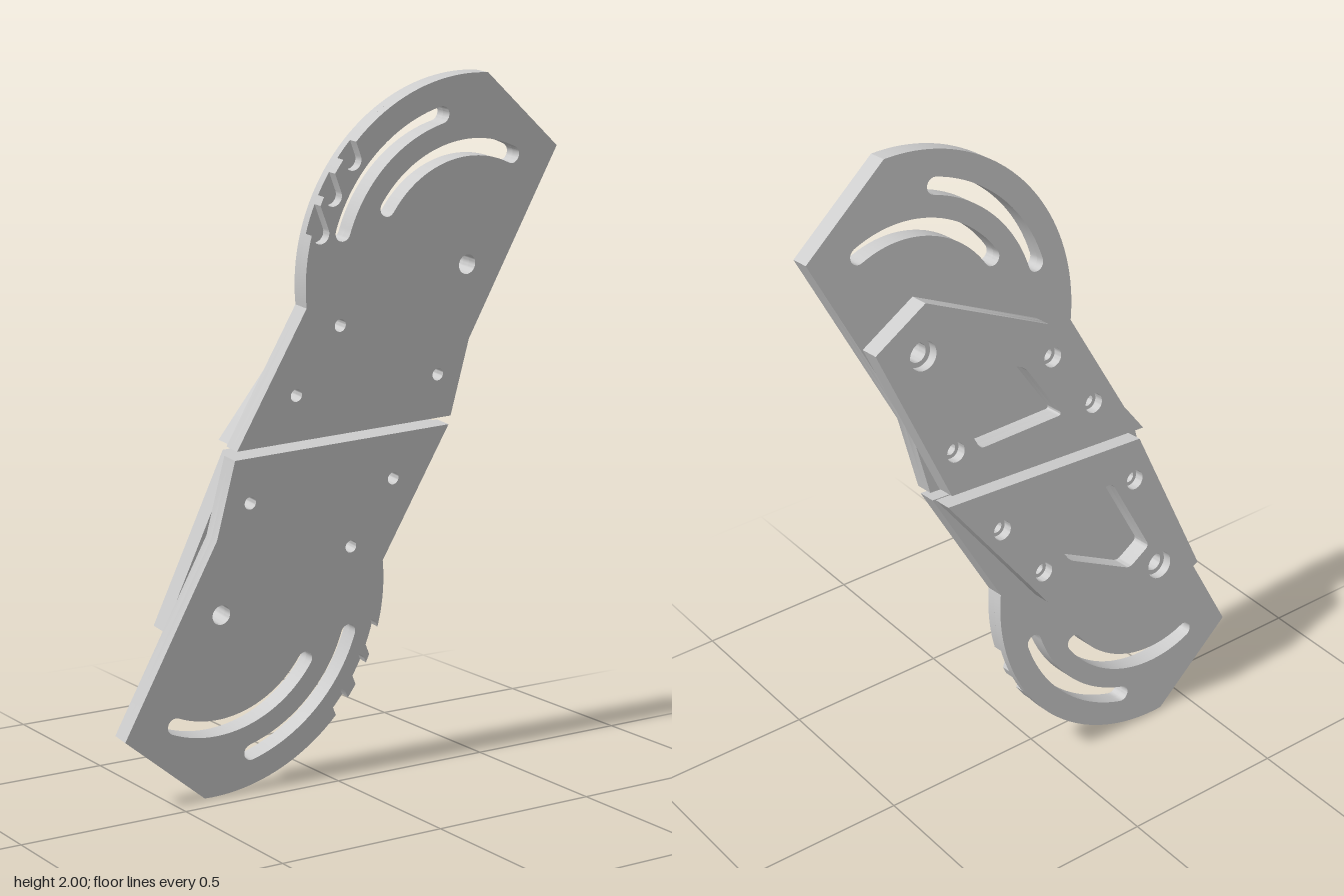
import * as THREE from 'three';
import { toCreasedNormals } from 'three/addons/utils/BufferGeometryUtils.js';

const V = (x, y) => new THREE.Vector2(x, y);
const material = new THREE.MeshStandardMaterial({ color: 0xcccccc });

// One half is drawn above the origin; the other is its half turn.
const PIVOT = V(0.375, 0.465);
const RIM = 0.535;
const SMALL_HOLES = [V(-0.04, 0.32), V(-0.17, 0.135), V(0.3, 0.155)];

const polar = (r, a, c = PIVOT) => V(c.x + r * Math.cos(a), c.y + r * Math.sin(a));

function arc(c, r, from, to, n) {
  return Array.from({ length: n + 1 }, (_, i) => polar(r, from + ((to - from) * i) / n, c));
}

const circle = (c, r) => new THREE.Path(arc(c, r, 0, Math.PI * 2, 32).slice(0, -1));

// Curved slot with round ends, concentric with the pivot
function slot(radius, from, to, w = 0.024) {
  return new THREE.Path([
    ...arc(PIVOT, radius + w, from, to, 32),
    ...arc(polar(radius, to), w, to, to + Math.PI, 10).slice(1),
    ...arc(PIVOT, radius - w, to, from, 32).slice(1),
    ...arc(polar(radius, from), w, from + Math.PI, from + Math.PI * 2, 10).slice(1, -1),
  ]);
}

// Round-bottomed notch running out through the rim
function notch(angle) {
  const r = 0.027;
  const c = polar(0.507, angle);
  const d = V(-0.42, 0.908);
  const start = Math.atan2(0.42, 0.908);
  const bottom = arc(c, r, start, start - Math.PI, 12);
  const toRim = (p) => {
    const q = p.clone().sub(PIVOT);
    const b = q.dot(d);
    const t = -b + Math.sqrt(b * b - q.lengthSq() + RIM * RIM);
    return p.clone().addScaledVector(d, t);
  };
  return [toRim(bottom[0]), ...bottom, toRim(bottom[bottom.length - 1])];
}

function baseShape(notched) {
  const angleOf = (p) => Math.atan2(p.y - PIVOT.y, p.x - PIVOT.x);
  const end = Math.PI * 1.054;
  const pts = [V(-0.35, -0.005), V(0.355, 0.03), V(0.4, 0.25), V(0.66, 0.79)];
  let a = 1.524;
  if (notched) {
    for (const n of [143, 155.5, 167.5]) {
      const cut = notch((n * Math.PI) / 180);
      pts.push(...arc(PIVOT, RIM, a, angleOf(cut[0]), a < 2 ? 20 : 3).slice(0, -1), ...cut.slice(0, -1));
      a = angleOf(cut[cut.length - 1]);
    }
  }
  pts.push(...arc(PIVOT, RIM, a, end, notched ? 10 : 40));
  const shape = new THREE.Shape(pts);
  shape.holes.push(
    slot(0.33, 1.167, 2.596),
    slot(0.438, 1.85, 2.887),
    circle(PIVOT, 0.028),
    ...SMALL_HOLES.map((c) => circle(c, 0.018)),
  );
  return shape;
}

// Back plate with a pocket window; the hole sizes differ per layer
function plateShape(small, big) {
  const shape = new THREE.Shape([
    V(-0.34, -0.002), V(0.325, 0.032), V(0.52, 0.512), V(0.353, 0.608), V(-0.035, 0.42),
  ]);
  const window = [V(0.22, 0.137), V(0.34, 0.385), V(0.265, 0.43), V(0.053, 0.32), V(-0.06, 0.14)];
  // Rounded corners on the window
  const rounded = new THREE.Path();
  window.forEach((p, i) => {
    const prev = window[(i + 4) % 5];
    const next = window[(i + 1) % 5];
    const near = (q) => p.clone().addScaledVector(q.clone().sub(p).normalize(), 0.016);
    const s = near(prev);
    const e = near(next);
    if (i === 0) rounded.moveTo(s.x, s.y);
    else rounded.lineTo(s.x, s.y);
    rounded.quadraticCurveTo(p.x, p.y, e.x, e.y);
  });
  rounded.closePath();
  shape.holes.push(rounded, circle(PIVOT, big), ...SMALL_HOLES.map((c) => circle(c, small)));
  return shape;
}

function layer(name, shape, zBack, zFront) {
  const geo = new THREE.ExtrudeGeometry(shape, {
    depth: zFront - zBack, bevelEnabled: false, curveSegments: 6,
  });
  geo.translate(0, 0, zBack);
  const mesh = new THREE.Mesh(toCreasedNormals(geo, 0.5), material);
  mesh.name = name;
  return mesh;
}

function makeHalf(name) {
  const half = new THREE.Group();
  half.name = name;
  half.add(
    layer('notchedFrontPlate', baseShape(true), 0.007, 0.037),
    layer('slottedBasePlate', baseShape(false), -0.02, 0.007),
    layer('backPlateInner', plateShape(0.018, 0.028), -0.05, -0.02),
    layer('backPlateCounterbored', plateShape(0.029, 0.042), -0.079, -0.05),
  );
  half.scale.y = 1.004;
  return half;
}

export function createModel() {
  const model = new THREE.Group();
  model.name = 'hingedPlatePair';
  const upper = makeHalf('upperHalf');
  const lower = makeHalf('lowerHalf');
  lower.rotation.z = Math.PI;
  // The whole pair leans slightly forward
  const tilted = new THREE.Group();
  tilted.name = 'tiltedPlates';
  tilted.rotation.x = 0.105;
  tilted.position.y = 1.002;
  tilted.add(upper, lower);
  model.add(tilted);
  return model;
}
